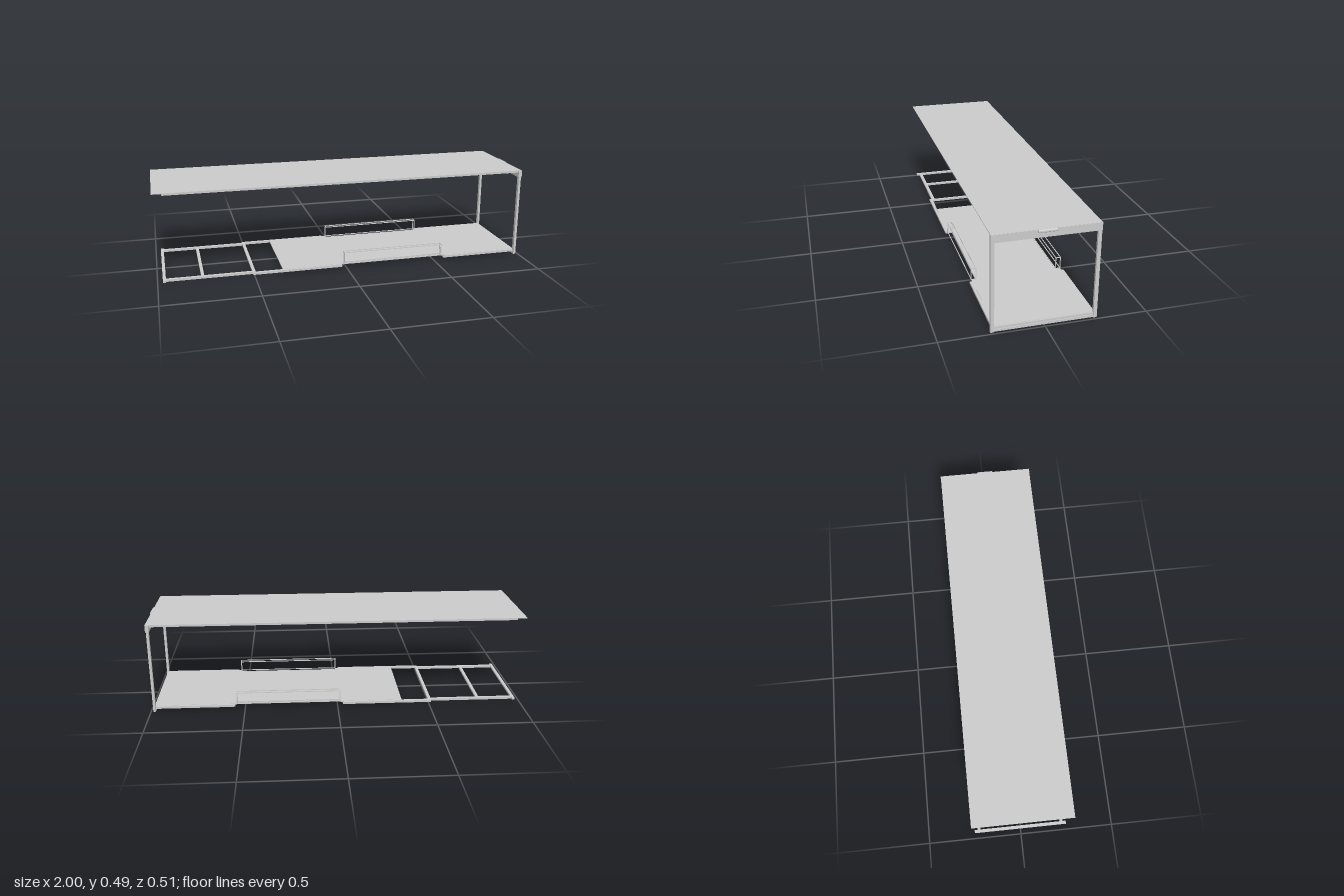
import * as THREE from 'three';
import { RoundedBoxGeometry } from 'three/addons/geometries/RoundedBoxGeometry.js';

const material = new THREE.MeshStandardMaterial({ color: 0xcccccc, flatShading: true });

export function createModel() {
  const model = new THREE.Group();
  model.name = 'cargoBodyFrame';

  const add = (name, geometry) => {
    const mesh = new THREE.Mesh(geometry, material);
    mesh.name = name;
    model.add(mesh);
    return mesh;
  };
  // box given by its limits on each axis
  const bar = (name, x0, x1, y0, y1, z0, z1) => {
    const mesh = add(name, new THREE.BoxGeometry(x1 - x0, y1 - y0, z1 - z0));
    mesh.position.set((x0 + x1) / 2, (y0 + y1) / 2, (z0 + z1) / 2);
    return mesh;
  };
  // the same box on both sides
  const pair = (name, x0, x1, y0, y1, z0, z1) => {
    bar(name + 'Left', x0, x1, y0, y1, -z1, -z0);
    bar(name + 'Right', x0, x1, y0, y1, z0, z1);
  };

  // roof: thin sheet, side rails and shallow bows
  bar('roofSheet', -1, 0.99, 0.486, 0.489, -0.255, 0.255);
  pair('roofRail', -0.95, 0.98, 0.476, 0.486, 0.236, 0.25);
  for (const x of [-0.7, -0.28, 0.14, 0.56]) {
    bar('roofBow', x - 0.004, x + 0.004, 0.483, 0.486, -0.236, 0.236);
  }

  // door frame at the open end
  pair('doorPost', 0.975, 0.988, 0, 0.476, 0.238, 0.256);
  bar('doorHeader', 0.973, 0.992, 0.45, 0.488, -0.256, 0.256);
  bar('doorSillLower', 0.973, 0.986, 0.002, 0.014, -0.238, 0.238);
  bar('doorSillUpper', 0.968, 0.982, 0.014, 0.025, -0.238, 0.238);
  const lamp = add('headerLamp', new RoundedBoxGeometry(0.014, 0.014, 0.09, 3, 0.005));
  lamp.position.set(0.993, 0.4815, 0);

  // floor sheet, narrowed beside the wheel boxes
  const half = [[-0.35, 0.235], [-0.015, 0.235], [-0.015, 0.21], [0.545, 0.21], [0.545, 0.235], [0.975, 0.235]];
  const outline = [...half, ...half.map(([x, z]) => [x, -z]).reverse()];
  const floorShape = new THREE.Shape(outline.map(([x, z]) => new THREE.Vector2(x, z)));
  const floor = new THREE.ExtrudeGeometry(floorShape, { depth: 0.006, bevelEnabled: false });
  floor.rotateX(Math.PI / 2).translate(0, 0.026, 0);
  add('floorSheet', floor);

  // floor side rails, interrupted at the wheels
  pair('frontSideRail', -0.51, -0.03, 0.013, 0.025, 0.232, 0.248);
  pair('rearSideRail', 0.56, 0.975, 0.013, 0.025, 0.232, 0.248);
  pair('wheelInnerRail', -0.03, 0.56, 0.013, 0.021, 0.2, 0.212);

  // open ladder frame ahead of the floor
  pair('ladderRail', -0.965, -0.505, 0.013, 0.025, 0.217, 0.234);
  for (const [x, z] of [[-0.965, 0.25], [-0.77, 0.232], [-0.503, 0.246]]) {
    bar('ladderCrossbar', x - 0.008, x + 0.008, 0.014, 0.025, -z, z);
  }

  // cross members below the floor
  for (const [x, z] of [[-0.34, 0.235], [-0.19, 0.235], [-0.035, 0.246], [0.56, 0.246], [0.77, 0.235]]) {
    bar('floorCrossMember', x - 0.007, x + 0.007, 0.013, 0.021, -z, z);
  }

  // wheel boxes as open frames of thin bars
  const t = 0.004;
  const [x0, x1, y0, y1, z0, z1] = [-0.015, 0.545, 0.024, 0.09, 0.209, 0.2375];
  for (const z of [z0, z1 - t]) {
    for (const y of [y0, y1 - t]) pair('wheelBoxLongBar', x0, x1, y, y + t, z, z + t);
    for (const x of [x0, x1 - t]) pair('wheelBoxUpright', x, x + t, y0 + t, y1 - t, z, z + t);
  }
  for (const x of [x0, x1 - t]) {
    for (const y of [y0, y1 - t]) pair('wheelBoxEndBar', x, x + t, y, y + t, z0 + t, z1 - t);
  }

  return model;
}
